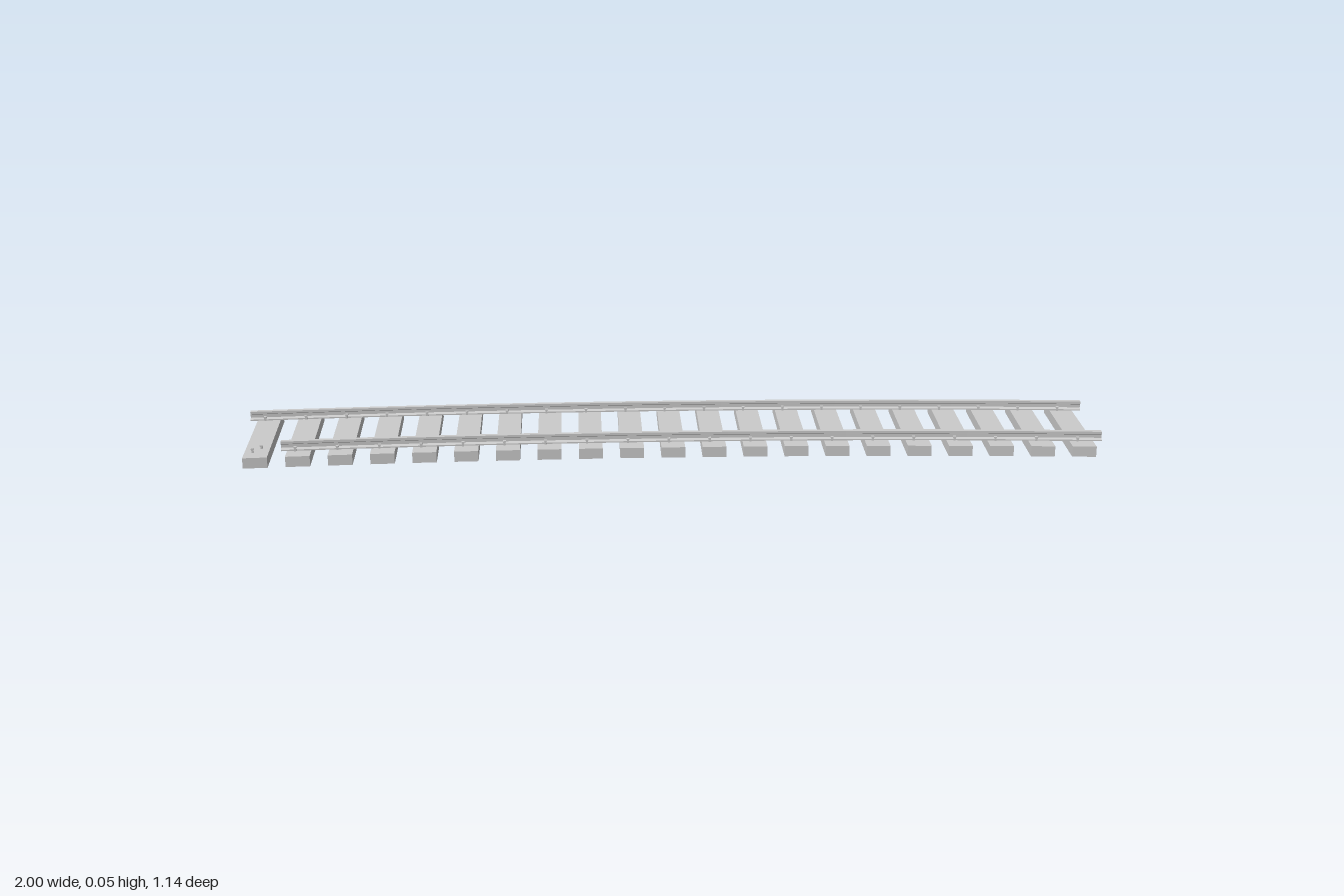
import * as THREE from 'three';
import { toCreasedNormals } from 'three/addons/utils/BufferGeometryUtils.js';

const DEG = Math.PI / 180;
const RADIUS = 12.822;            // centre line of the curve
const HALF_GAUGE = 0.128;
const CENTRE = new THREE.Vector3(-5.09, 0, 11.734);
const TIE_COUNT = 21, TIE_START = 19.0, TIE_END = 27.78;
const TIE_HEIGHT = 0.025, TIE_WIDTH = 0.056, TIE_LENGTH = 0.365;

const material = new THREE.MeshStandardMaterial({ color: 0xcccccc });
const capMaterial = new THREE.MeshStandardMaterial({ color: 0xcccccc, side: THREE.DoubleSide });

// Half of the rail section as [offset, y], foot to head
const HALF_SECTION = [
  [0.011, 0.025], [0.011, 0.028], [0.003, 0.031],
  [0.003, 0.039], [0.0065, 0.041], [0.0065, 0.047],
];

function railSection(radius) {
  const right = HALF_SECTION.map(([x, y]) => new THREE.Vector2(radius + x, y));
  const left = HALF_SECTION.map(([x, y]) => new THREE.Vector2(radius - x, y)).reverse();
  return [...right, ...left];
}

// Turn an object so that its local x points outward along the given bearing
function face(object, degrees) {
  object.rotation.y = Math.PI / 2 - degrees * DEG;
  return object;
}

function createRail(name, radius, start, end) {
  const rail = new THREE.Group();
  rail.name = name;
  const section = railSection(radius);
  const arc = new THREE.LatheGeometry([...section, section[0].clone()], 20,
    Math.PI - end * DEG, (end - start) * DEG);
  const body = new THREE.Mesh(toCreasedNormals(arc, 0.4), material);
  body.name = name + 'Body';
  rail.add(body);
  const capGeometry = new THREE.ShapeGeometry(new THREE.Shape(section));
  for (const bearing of [start, end]) {
    const cap = face(new THREE.Mesh(capGeometry, capMaterial), bearing);
    cap.name = name + 'EndCap';
    rail.add(cap);
  }
  return rail;
}

export function createModel() {
  const model = new THREE.Group();
  model.name = 'curvedTrack';
  const track = new THREE.Group();
  track.name = 'track';
  track.position.copy(CENTRE);
  model.add(track);

  // Rails, with staggered starts and a square finish
  track.add(createRail('outerRail', RADIUS + HALF_GAUGE, 18.8, 28));
  track.add(createRail('innerRail', RADIUS - HALF_GAUGE, 19.25, 28));

  // Ties, each with a spike on both sides of both rails
  const tieGeometry = new THREE.BoxGeometry(TIE_LENGTH, TIE_HEIGHT, TIE_WIDTH);
  const shankGeometry = new THREE.BoxGeometry(0.004, 0.009, 0.005);
  const headGeometry = new THREE.BoxGeometry(0.008, 0.003, 0.007);
  for (let i = 0; i < TIE_COUNT; i++) {
    const bearing = THREE.MathUtils.lerp(TIE_START, TIE_END, i / (TIE_COUNT - 1));
    const unit = face(new THREE.Group(), bearing);
    unit.name = 'tieUnit';
    const tie = new THREE.Mesh(tieGeometry, material);
    tie.name = 'tie';
    tie.position.set(RADIUS, TIE_HEIGHT / 2, 0);
    unit.add(tie);
    for (const rail of [-1, 1]) {
      for (const side of [-1, 1]) {
        const x = RADIUS + rail * HALF_GAUGE + side * 0.013;
        const shank = new THREE.Mesh(shankGeometry, material);
        shank.name = 'spikeShank';
        shank.position.set(x, TIE_HEIGHT + 0.0035, side * 0.009);
        const head = new THREE.Mesh(headGeometry, material);
        head.name = 'spikeHead';
        head.position.set(x - side * 0.002, TIE_HEIGHT + 0.0085, side * 0.009);
        unit.add(shank, head);
      }
    }
    track.add(unit);
  }
  return model;
}
